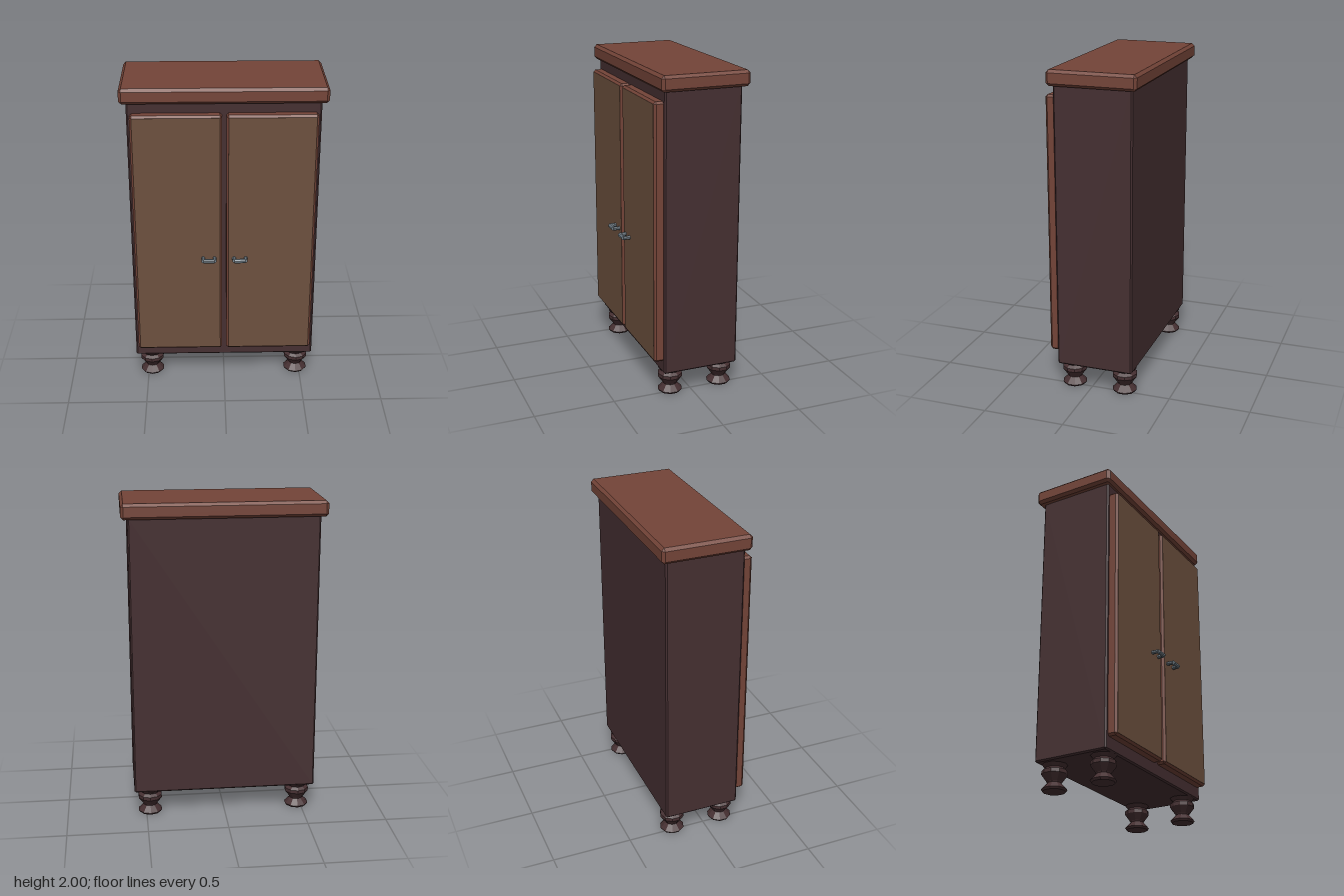
import * as THREE from 'three';
import { ConvexGeometry } from 'three/addons/geometries/ConvexGeometry.js';

const material = (name, color, flat = false) => {
  const m = new THREE.MeshStandardMaterial({ color, flatShading: flat });
  m.name = name;
  return m;
};

// Box between two corners with every edge cut off at 45 degrees
function chamferedBox([x0, y0, z0], [x1, y1, z1], c) {
  const half = [(x1 - x0) / 2, (y1 - y0) / 2, (z1 - z0) / 2];
  const points = [];
  for (const sx of [-1, 1]) for (const sy of [-1, 1]) for (const sz of [-1, 1]) {
    for (let full = 0; full < 3; full++) {
      const [hx, hy, hz] = half.map((h, axis) => (axis === full ? h : h - c));
      points.push(new THREE.Vector3(sx * hx, sy * hy, sz * hz));
    }
  }
  return new ConvexGeometry(points).translate((x0 + x1) / 2, (y0 + y1) / 2, (z0 + z1) / 2);
}

export function createModel() {
  const darkWood = material('dark wood', 0x452f31, true);
  const redWood = material('red wood', 0x744438, true);
  const panelWood = material('panel wood', 0x6d503e, true);
  const metal = material('grey metal', 0x727f88, true);

  const model = new THREE.Group();
  model.name = 'cabinet';
  const add = (parent, name, geometry, mat, x = 0, y = 0, z = 0) => {
    const mesh = new THREE.Mesh(geometry, mat);
    mesh.name = name;
    mesh.position.set(x, y, z);
    parent.add(mesh);
    return mesh;
  };

  // Carcass and overhanging top
  add(model, 'body', chamferedBox([-0.575, 0.16, -0.28], [0.575, 1.915, 0.2], 0.009), darkWood);
  add(model, 'top', chamferedBox([-0.615, 1.905, -0.315], [0.615, 2, 0.23], 0.017), redWood);

  // Doors with a painted front panel and a bracket handle each
  const doorGeometry = chamferedBox([-0.271, 0.24, 0.18], [0.271, 1.845, 0.256], 0.013);
  const panelGeometry = new THREE.BoxGeometry(0.516, 1.579, 0.002);
  const postGeometry = new THREE.CylinderGeometry(0.012, 0.012, 0.052, 8).rotateY(Math.PI / 8).rotateX(Math.PI / 2);
  const barGeometry = new THREE.CylinderGeometry(0.014, 0.014, 0.068, 8).rotateY(Math.PI / 8).rotateZ(Math.PI / 2);
  for (const side of [-1, 1]) {
    const door = new THREE.Group();
    door.name = side > 0 ? 'leftDoor' : 'rightDoor';
    add(door, 'doorFrame', doorGeometry, redWood, side * 0.284);
    add(door, 'doorPanel', panelGeometry, panelWood, side * 0.284, 1.0425, 0.256);
    const handle = new THREE.Group();
    handle.name = 'handle';
    handle.position.set(side * 0.096, 0.908, 0);
    for (const end of [-1, 1]) add(handle, 'handlePost', postGeometry, metal, end * 0.036, 0, 0.272);
    add(handle, 'handleBar', barGeometry, metal, 0, 0, 0.297);
    door.add(handle);
    model.add(door);
  }

  // Turned feet
  const profile = [
    [0, 0], [0.068, 0], [0.077, 0.013], [0.042, 0.05], [0.046, 0.058],
    [0.077, 0.1], [0.077, 0.122], [0.058, 0.138], [0.076, 0.16], [0, 0.165],
  ].map(([r, y]) => new THREE.Vector2(r, y));
  const footGeometry = new THREE.LatheGeometry(profile, 10);
  for (const x of [-0.475, 0.475]) for (const z of [-0.205, 0.125]) {
    add(model, 'foot', footGeometry, darkWood, x, 0, z);
  }
  return model;
}
